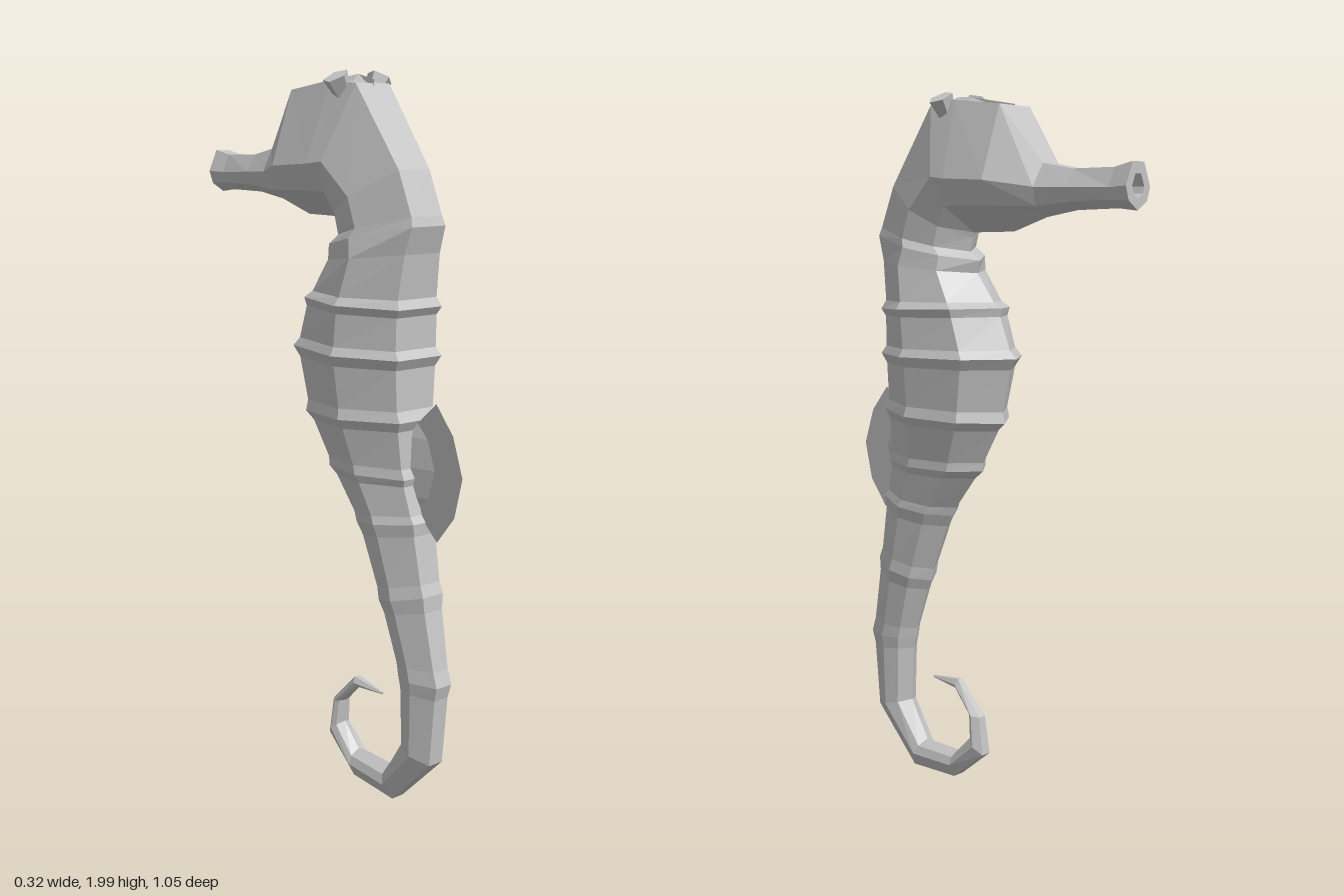
import * as THREE from 'three';

const skin = new THREE.MeshStandardMaterial({ color: 0xc4c4c4 });
skin.name = 'pale grey skin';
const finSkin = skin.clone();
finSkin.name = 'pale grey fin';
finSkin.side = THREE.DoubleSide;

// Each section: [back z, back y, belly z, belly y, half width, where the widest point lies, ridge?]
const TAIL = [
  [0.228, 0.298, 0.222, 0.292, 0.004, 0.5, 0],
  [0.114, 0.312, 0.124, 0.28, 0.018, 0.5, 0],
  [0.024, 0.217, 0.066, 0.222, 0.026, 0.5, 0],
  [0.008, 0.106, 0.06, 0.153, 0.032, 0.5, 0],
  [0.124, 0.012, 0.124, 0.09, 0.038, 0.5, 0],
  [0.294, 0.005, 0.257, 0.09, 0.042, 0.5, 0],
  [0.447, 0.164, 0.325, 0.2, 0.05, 0.45, 0],
  [0.474, 0.397, 0.305, 0.4, 0.057, 0.45, 1],
  [0.426, 0.64, 0.235, 0.59, 0.076, 0.45, 1],
];
const TRUNK = [
  [0.392, 0.835, 0.14, 0.8, 0.09, 0.43, 1],
  [0.36, 0.95, 0.02, 0.945, 0.105, 0.4, 1],
  [0.36, 1.105, -0.066, 1.09, 0.142, 0.38, 1],
  [0.362, 1.27, -0.11, 1.272, 0.162, 0.36, 1],
  [0.362, 1.4, -0.052, 1.41, 0.16, 0.38, 1],
  [0.365, 1.54, 0.04, 1.505, 0.13, 0.42, 0],
  [0.388, 1.61, 0.03, 1.54, 0.122, 0.48, 0],
  [0.38, 1.635, 0.068, 1.565, 0.112, 0.48, 0],
  [0.33, 1.75, 0.06, 1.605, 0.112, 0.48, 0],
];
const HEAD = [
  [0.167, 1.965, 0.055, 1.618, 0.122, 0.57, 0],
  [0.07, 1.975, 0.03, 1.618, 0.128, 0.6, 0],
  [-0.1, 1.953, -0.1, 1.619, 0.128, 0.6, 0],
  [-0.23, 1.795, -0.22, 1.656, 0.066, 0.45, 0],
  [-0.325, 1.777, -0.325, 1.672, 0.052, 0.45, 0],
  [-0.46, 1.776, -0.46, 1.674, 0.042, 0.5, 0],
  [-0.52, 1.788, -0.52, 1.667, 0.049, 0.5, 0],
];

// Seven-sided section: flat back, wide sides, keeled belly
function ring([bz, by, fz, fy, w, mid], scale = 1) {
  const profile = [[0.47, 0], [1, mid], [0.76, 0.8], [0, 1], [-0.76, 0.8], [-1, mid], [-0.47, 0]];
  return profile.map(([x, t]) => {
    const s = 0.5 + (t - 0.5) * scale;
    return new THREE.Vector3(x * w * scale, by + (fy - by) * s, bz + (fz - bz) * s);
  });
}

// Faceted skin over a row of rings, closed at both ends
function loft(rings) {
  const pos = [];
  const tri = (...pts) => pts.forEach((p) => pos.push(p.x, p.y, p.z));
  const n = rings[0].length;
  for (let i = 0; i < rings.length - 1; i++) {
    for (let j = 0; j < n; j++) {
      const k = (j + 1) % n;
      const [a, b, c, d] = [rings[i][j], rings[i][k], rings[i + 1][k], rings[i + 1][j]];
      tri(a, b, c);
      tri(a, c, d);
    }
  }
  const first = rings[0], last = rings[rings.length - 1];
  for (let j = 1; j < n - 1; j++) {
    tri(first[0], first[j + 1], first[j]);
    tri(last[0], last[j], last[j + 1]);
  }
  const g = new THREE.BufferGeometry();
  g.setAttribute('position', new THREE.Float32BufferAttribute(pos, 3));
  g.computeVertexNormals();
  return g;
}

// Bony ridges: a slightly shrunken ring on each side of the ridge section
function withRidges(sections) {
  const blend = (a, b) => a.map((v, i) => v + (b[i] - v) * 0.17);
  return sections.flatMap((s, i) => {
    if (!s[6]) return [ring(s)];
    return [ring(blend(s, sections[i - 1]), 0.93), ring(s), ring(blend(s, sections[i + 1]), 0.93)];
  });
}

export function createModel() {
  const model = new THREE.Group();
  model.name = 'seahorse';
  const add = (name, geometry, material = skin) => {
    const mesh = new THREE.Mesh(geometry, material);
    mesh.name = name;
    model.add(mesh);
    return mesh;
  };

  // Body from curled tail to snout, ending in a hollow mouth
  const tip = HEAD[HEAD.length - 1];
  const inner = tip.slice();
  inner[0] += 0.06;
  inner[2] += 0.06;
  add('body', loft([...withRidges([...TAIL, ...TRUNK, ...HEAD]), ring(tip, 0.5), ring(inner, 0.4)]));

  // Thin fin on the back, drawn in the z-y plane
  const outline = [[0.34, 1.09], [0.365, 1.105], [0.426, 1.16], [0.49, 1.085], [0.527, 0.98],
    [0.5, 0.87], [0.437, 0.79], [0.37, 0.85], [0.34, 0.88]];
  const fin = new THREE.ShapeGeometry(new THREE.Shape(outline.map(([z, y]) => new THREE.Vector2(z, y))));
  fin.rotateY(-Math.PI / 2);
  add('dorsalFin', fin, finSkin);

  // Wedge at the root of the fin
  const wedge = [[0.345, 1.11, 0.002], [0.395, 1.06, 0.012], [0.424, 0.98, 0.017], [0.4, 0.9, 0.012], [0.36, 0.85, 0.002]];
  add('finRoot', loft(wedge.reverse().map(([z, y, w]) => [
    new THREE.Vector3(0, y, z), new THREE.Vector3(w, y, 0.34), new THREE.Vector3(-w, y, 0.34),
  ])));

  // Narrow crest along the crown
  const crest = [[0.172, 1.975, 0.002], [0.11, 1.99, 0.026], [0.06, 1.985, 0.022], [-0.1, 1.956, 0.002]];
  add('crest', loft(crest.map(([z, y, w]) => [
    new THREE.Vector3(0, y, z), new THREE.Vector3(w, y - 0.025, z), new THREE.Vector3(-w, y - 0.025, z),
  ])));

  // Flared horns either side of the crest
  for (const side of [1, -1]) {
    const horn = new THREE.CylinderGeometry(0.036, 0.022, 0.06, 5).toNonIndexed();
    horn.computeVertexNormals();
    const mesh = add(side > 0 ? 'leftHorn' : 'rightHorn', horn);
    mesh.position.set(side * 0.062, 1.957, 0.108);
    mesh.rotation.z = -side * 0.5;
  }
  return model;
}
